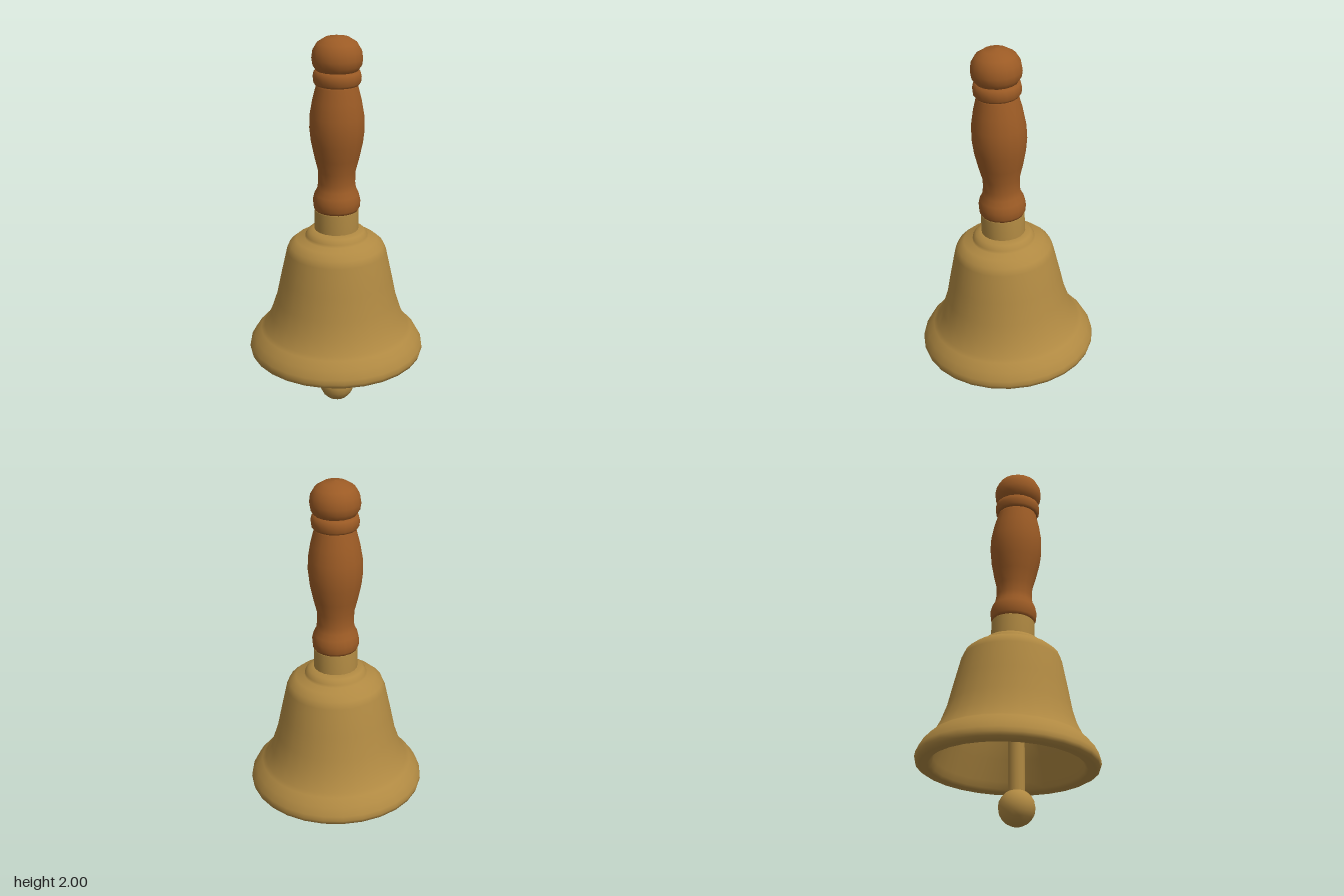
import * as THREE from 'three';

const brass = new THREE.MeshStandardMaterial({ color: 0xb08942 });
brass.name = 'brass';
const wood = new THREE.MeshStandardMaterial({ color: 0x9c5b25 });
wood.name = 'wood';

// Turned part from a [radius, height] profile, smoothly shaded
function turned(name, profile, material, segments) {
  const points = profile.map(([r, y]) => new THREE.Vector2(r, y));
  const mesh = new THREE.Mesh(new THREE.LatheGeometry(points, segments), material);
  mesh.name = name;
  return mesh;
}

export function createModel() {
  const model = new THREE.Group();
  model.name = 'handBell';

  // Bell and handle lean slightly forward about the rim
  const pivotY = 0.295;
  const leaning = new THREE.Group();
  leaning.name = 'bellAndHandle';
  leaning.rotation.x = 0.037;
  leaning.position.set(0, pivotY, pivotY * -0.037 + 0.011);
  const body = new THREE.Group();
  body.name = 'bellBody';
  body.position.y = -pivotY;
  leaning.add(body);

  // Hollow bell: inside from the crown down, round the lip, then up the outside
  body.add(turned('bell', [
    [0, 0.9], [0.18, 0.89], [0.225, 0.85], [0.26, 0.7], [0.29, 0.57],
    [0.33, 0.45], [0.375, 0.34], [0.385, 0.305], [0.4, 0.292],
    [0.44, 0.288], [0.46, 0.3], [0.466, 0.32], [0.462, 0.345], [0.44, 0.385],
    [0.405, 0.425], [0.385, 0.44], [0.35, 0.51], [0.32, 0.6], [0.295, 0.72],
    [0.262, 0.87], [0.247, 0.905], [0.212, 0.935], [0.165, 0.945],
    [0.162, 0.96], [0.145, 0.983], [0.115, 0.993], [0, 0.995],
  ], brass, 28));

  // Ferrule between bell and handle
  body.add(turned('ferrule', [[0.115, 0.985], [0.114, 1.095], [0.108, 1.104], [0, 1.104]], brass, 20));

  // Turned grip with its base bead
  body.add(turned('grip', [
    [0, 1.1], [0.112, 1.1], [0.12, 1.115], [0.123, 1.15], [0.115, 1.185],
    [0.1, 1.215], [0.095, 1.25], [0.097, 1.31], [0.115, 1.38], [0.132, 1.46],
    [0.14, 1.53], [0.138, 1.6], [0.124, 1.68], [0.106, 1.75], [0.1, 1.775], [0, 1.78],
  ], wood, 18));

  // Bead ring below the knob
  body.add(turned('handleRing', [
    [0, 1.758], [0.11, 1.76], [0.119, 1.772], [0.122, 1.8], [0.116, 1.825], [0.098, 1.838], [0, 1.84],
  ], wood, 18));

  // Rounded knob
  body.add(turned('knob', [
    [0.09, 1.815], [0.108, 1.835], [0.123, 1.858], [0.128, 1.89], [0.122, 1.93],
    [0.1, 1.967], [0.06, 1.992], [0, 2.001],
  ], wood, 18));
  model.add(leaning);

  // Clapper hangs straight down inside the bell
  const clapper = new THREE.Group();
  clapper.name = 'clapper';
  clapper.position.z = 0.045;
  const rod = new THREE.Mesh(new THREE.CylinderGeometry(0.042, 0.042, 0.77, 14, 1, true), brass);
  rod.name = 'clapperRod';
  rod.position.y = 0.525;
  const ball = new THREE.Mesh(new THREE.SphereGeometry(0.093, 16, 10), brass);
  ball.name = 'clapperBall';
  ball.position.y = 0.094;
  clapper.add(rod, ball);
  model.add(clapper);

  return model;
}
